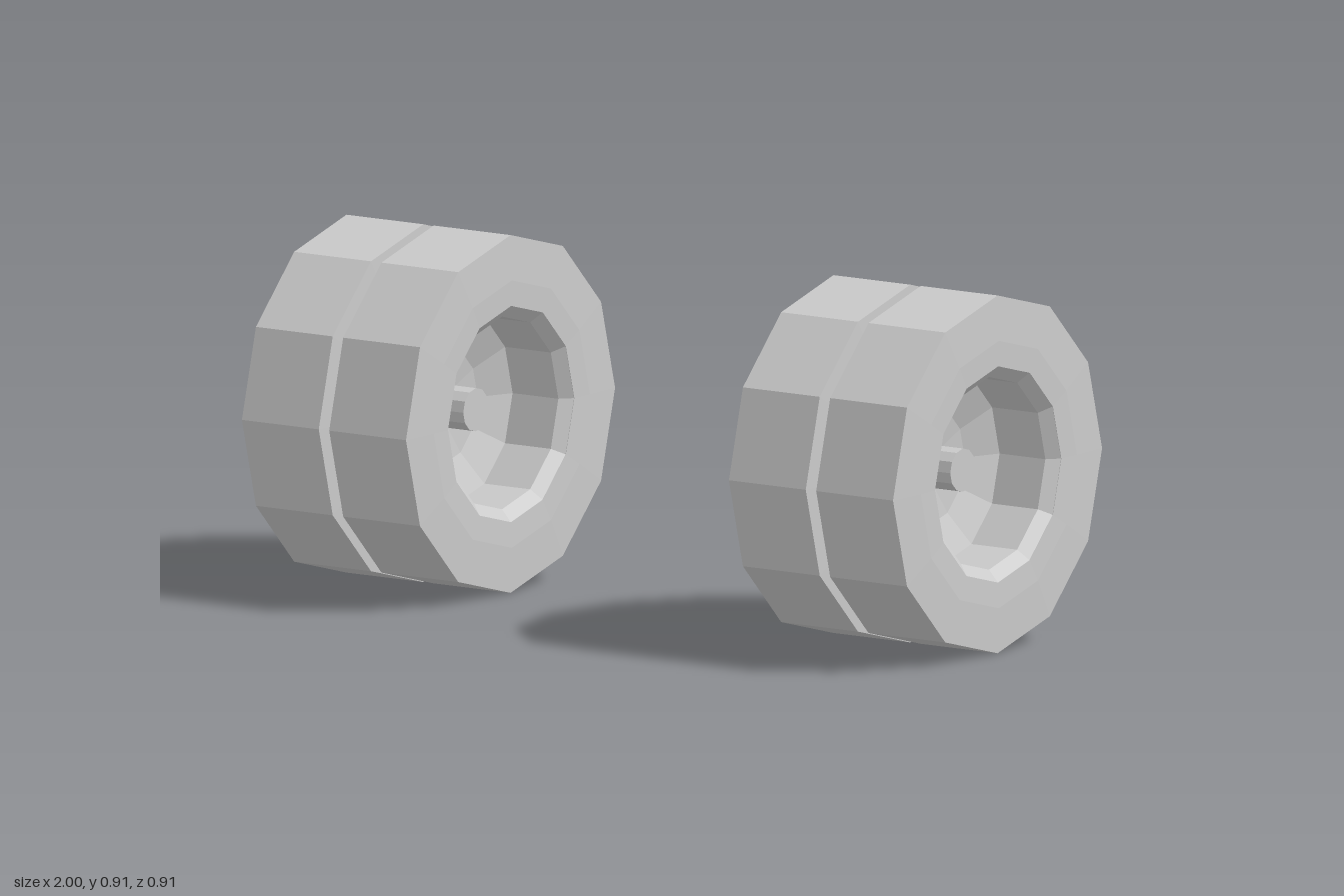
import * as THREE from 'three';

const SIDES = 12;
const RADIUS = 0.455;
const PAIR_X = 0.745;
const material = new THREE.MeshStandardMaterial({ color: 0xcccccc, flatShading: true });

// Profiles are [radius, distance outward from the middle of a wheel pair]
const TYRE = [
  [0.275, 0.014], [0.34, 0.012], [RADIUS, 0.016],
  [RADIUS, 0.251], [0.34, 0.255], [0.275, 0.253], [0.275, 0.014],
];
const RIM = [
  // convex back, reaching towards the neighbouring wheel
  [0, 0.004], [0.05, 0.006], [0.15, 0.013], [0.245, 0.022], [0.275, 0.022],
  // bevelled lip, straight barrel and concave dish
  [0.275, 0.252], [0.245, 0.225], [0.245, 0.085], [0.15, 0.045], [0.05, 0.03], [0, 0.03],
];
const HUB = [[0.055, 0.02], [0.055, 0.145], [0, 0.145]];

function turned(name, profile) {
  const points = profile.map(([r, d]) => new THREE.Vector2(r, d));
  const mesh = new THREE.Mesh(new THREE.LatheGeometry(points, SIDES), material);
  mesh.name = name;
  return mesh;
}

// One wheel, its axis along x; side +1 or -1 sets which way the dish faces
function createWheel(side) {
  const wheel = new THREE.Group();
  wheel.name = 'wheel';
  wheel.add(turned('tyre', TYRE), turned('rim', RIM), turned('hub', HUB));
  wheel.rotation.z = -side * Math.PI / 2;
  return wheel;
}

// Two wheels back to back, joined by a short axle
function createWheelPair(name) {
  const pair = new THREE.Group();
  pair.name = name;
  const axle = new THREE.Mesh(new THREE.CylinderGeometry(0.045, 0.045, 0.03, SIDES), material);
  axle.name = 'axle';
  axle.rotation.z = Math.PI / 2;
  pair.add(createWheel(1), createWheel(-1), axle);
  return pair;
}

export function createModel() {
  const model = new THREE.Group();
  model.name = 'dualWheels';
  for (const [name, side] of [['leftWheelPair', 1], ['rightWheelPair', -1]]) {
    const pair = createWheelPair(name);
    pair.position.set(side * PAIR_X, RADIUS, 0);
    model.add(pair);
  }
  return model;
}
